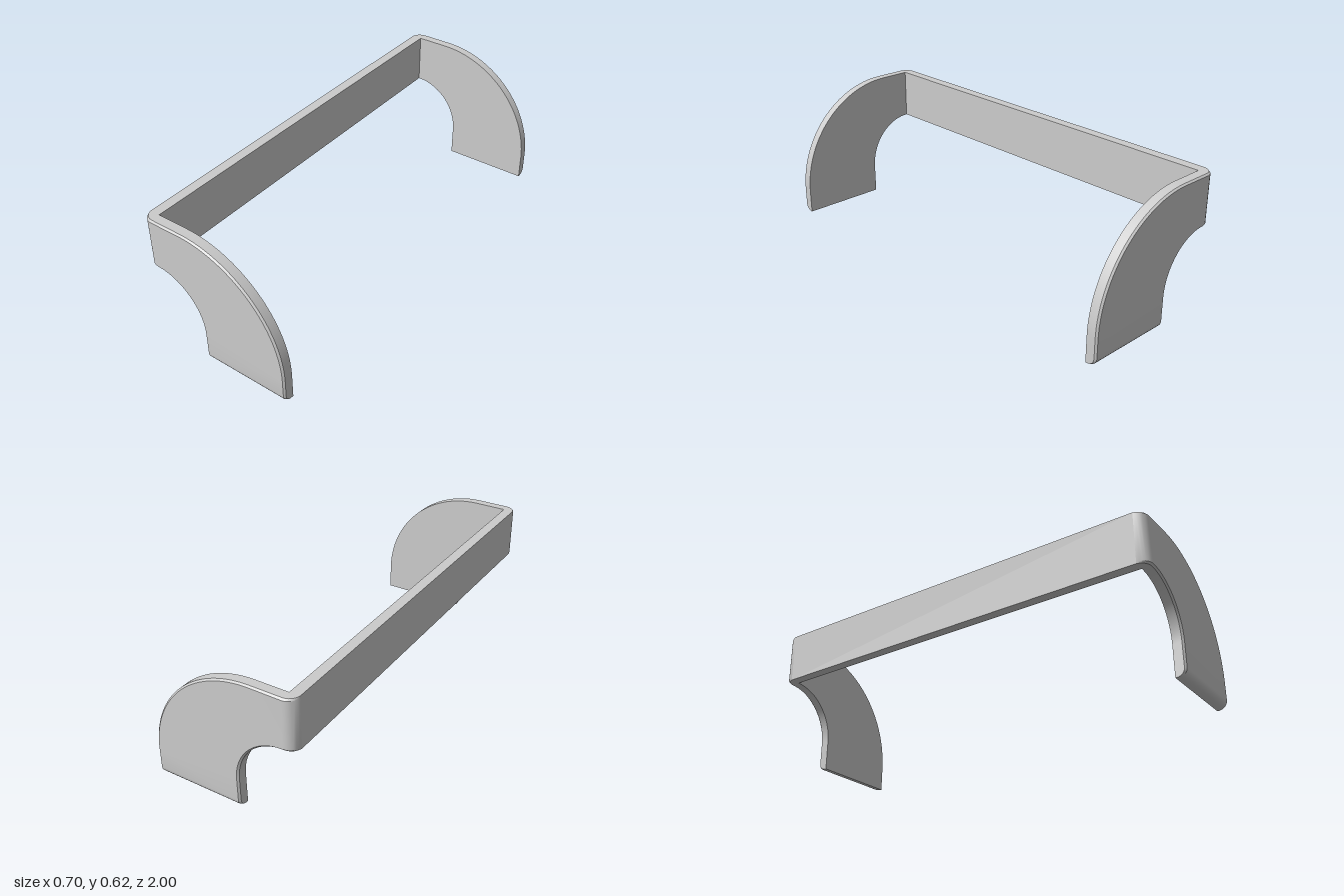
import * as THREE from 'three';
import { toCreasedNormals } from 'three/addons/utils/BufferGeometryUtils.js';

const TOP = 0.624, LOW = 0.385, Z_IN = 0.95, Z_OUT = 1, BEVEL = 0.008;

// Stations along the arm: inner edge point, outer edge point, outside z
function armStations() {
  const list = [];
  const add = (ix, iy, ox, oy, z) => list.push({ i: [ix, iy], o: [ox, oy], z });
  // rounded bend next to the crossbar
  for (let k = 0; k <= 6; k++) {
    const a = (k / 6) * Math.PI / 2, x = -0.3 - 0.05 * Math.cos(a);
    add(x, LOW, x, TOP, Z_IN + 0.05 * Math.sin(a));
  }
  // quarter-turn sweep
  for (let k = 0; k <= 32; k++) {
    const a = (k / 32) * Math.PI / 2, s = Math.sin(a), c = Math.cos(a);
    add(-0.3 + 0.23 * s, 0.145 + 0.24 * c, -0.15 + 0.5 * s, 0.12 + 0.504 * c, Z_OUT);
  }
  // straight foot with its lower outside edge rounded
  const r = 0.035;
  for (let k = 0; k <= 6; k++) {
    const a = (k / 6) * Math.PI / 2, y = r * (1 - Math.sin(a));
    add(-0.07, y, 0.35, y, Z_OUT - r * (1 - Math.cos(a)));
  }
  return list;
}

// Plate section with softened outside edges
function section({ i, o, z }, side) {
  const dx = o[0] - i[0], dy = o[1] - i[1], len = Math.hypot(dx, dy);
  const b = Math.min(BEVEL, z - Z_IN), ux = dx / len * b, uy = dy / len * b;
  return [
    [...i, Z_IN], [...o, Z_IN], [...o, z - b],
    [o[0] - ux, o[1] - uy, z], [i[0] + ux, i[1] + uy, z], [...i, z - b],
  ].map(([x, y, w]) => [x, y, w * side]);
}

function armGeometry(side) {
  const rings = armStations().map((s) => section(s, side));
  const n = rings[0].length, pos = [];
  const tri = (a, b, c) => pos.push(...a, ...(side > 0 ? b : c), ...(side > 0 ? c : b));
  for (let j = 0; j < rings.length - 1; j++) {
    for (let k = 0; k < n; k++) {
      const m = (k + 1) % n, p = rings[j], q = rings[j + 1];
      tri(p[k], p[m], q[m]);
      tri(p[k], q[m], q[k]);
    }
  }
  // sole of the foot
  const end = rings[rings.length - 1];
  for (let k = 1; k < n - 1; k++) tri(end[0], end[k], end[k + 1]);
  const g = new THREE.BufferGeometry();
  g.setAttribute('position', new THREE.Float32BufferAttribute(pos, 3));
  return toCreasedNormals(g, 0.5);
}

export function createModel() {
  const group = new THREE.Group();
  const mat = new THREE.MeshStandardMaterial({ color: 0xcccccc });
  const add = (geometry, name) => {
    const mesh = new THREE.Mesh(geometry, mat);
    mesh.name = name;
    group.add(mesh);
    return mesh;
  };

  // long bar joining the two arms
  add(new THREE.BoxGeometry(0.048, TOP - LOW, 2 * Z_IN), 'crossbar')
    .position.set(-0.326, (TOP + LOW) / 2, 0);

  // curved arms at each end
  add(armGeometry(1), 'frontArm');
  add(armGeometry(-1), 'backArm');
  return group;
}
